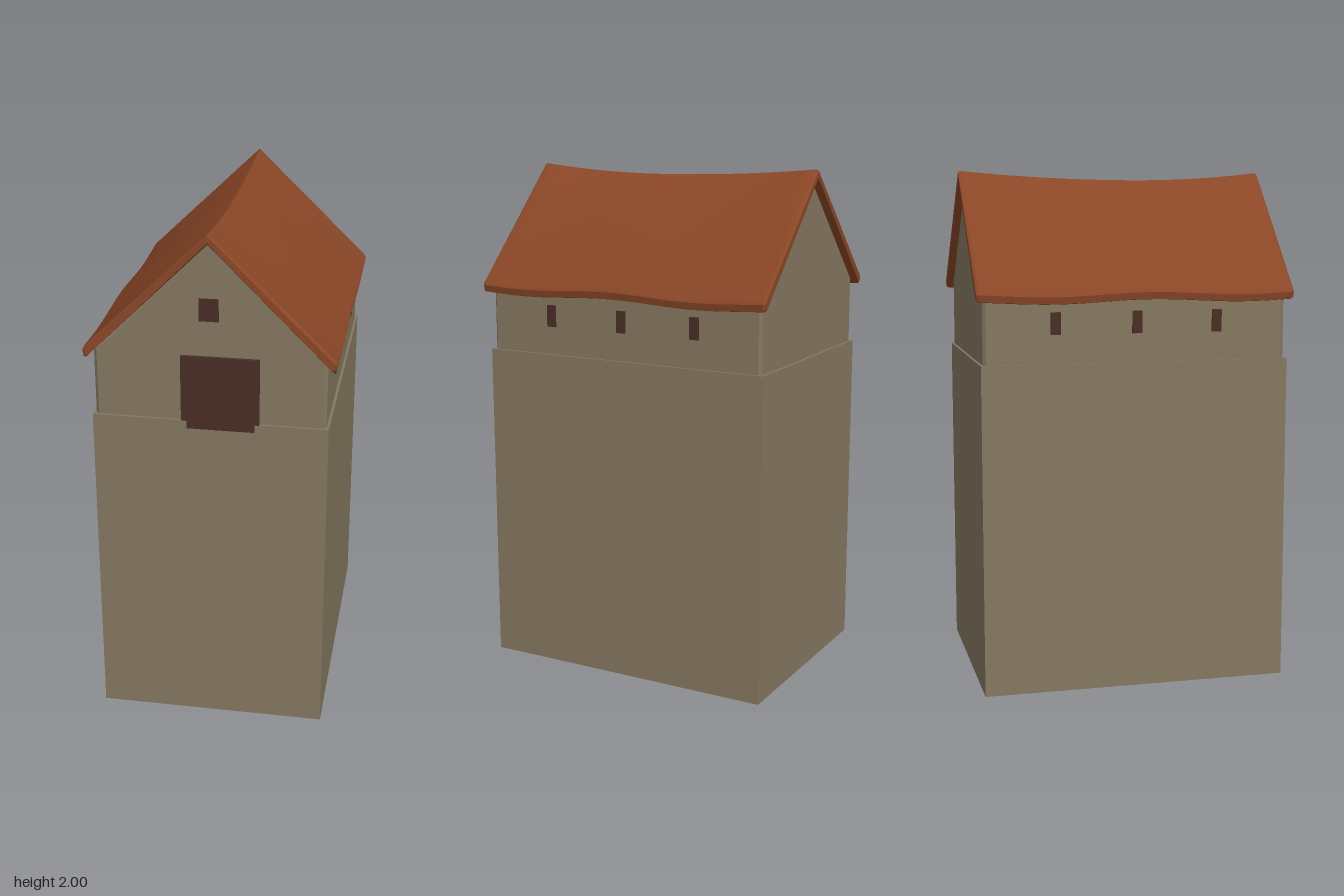
import * as THREE from 'three';
import { toCreasedNormals } from 'three/addons/utils/BufferGeometryUtils.js';

// Closed solid lofted along z through cross-sections given counter-clockwise in xy
function loft(zs, section) {
  const rings = zs.map((z, i) => section(z, i).map(([x, y]) => [x, y, z]));
  const n = rings[0].length, last = rings.length - 1, pos = [];
  const tri = (...pts) => pts.forEach((p) => pos.push(...p));
  for (let i = 0; i < last; i++) {
    for (let j = 0; j < n; j++) {
      const k = (j + 1) % n;
      const a = rings[i][j], b = rings[i][k], c = rings[i + 1][k], d = rings[i + 1][j];
      tri(a, b, c);
      tri(a, c, d);
    }
  }
  const cap = (ring) => THREE.ShapeUtils.triangulateShape(ring.map((p) => new THREE.Vector2(p[0], p[1])), []);
  for (const [a, b, c] of cap(rings[last])) tri(rings[last][a], rings[last][b], rings[last][c]);
  for (const [a, b, c] of cap(rings[0])) tri(rings[0][c], rings[0][b], rings[0][a]);
  const g = new THREE.BufferGeometry();
  g.setAttribute('position', new THREE.Float32BufferAttribute(pos, 3));
  return toCreasedNormals(g, 0.5);
}

// Section positions: a small bevel at each end and even steps between
function stations(half, bevel, steps) {
  const zs = [-half];
  for (let i = 0; i <= steps; i++) zs.push((half - bevel) * (2 * i / steps - 1));
  return [...zs, half];
}

// Sagging ridge and wavy eaves of the old roof
const ridgeY = (z) => 1.965 + (z > 0.1 ? 0.031 * ((z - 0.1) / 0.515) ** 2 : 0.035 * ((z - 0.1) / 0.715) ** 2);
const eaveY = (z) => 0.007 * Math.cos((z - 0.05) * 2 * Math.PI / 0.75);

export function createModel() {
  const model = new THREE.Group();
  const mat = (name, color) => {
    const m = new THREE.MeshStandardMaterial({ color });
    m.name = name;
    return m;
  };
  const stone = mat('stone wall', 0x857860);
  const tile = mat('roof tile', 0x8b4727);
  const wood = mat('dark wood', 0x4a2e25);

  const add = (name, geometry, material) => {
    const mesh = new THREE.Mesh(geometry, material);
    mesh.name = name;
    model.add(mesh);
    return mesh;
  };
  const box = (name, material, x0, x1, y0, y1, z0, z1) => {
    const mesh = add(name, new THREE.BoxGeometry(x1 - x0, y1 - y0, z1 - z0), material);
    mesh.position.set((x0 + x1) / 2, (y0 + y1) / 2, (z0 + z1) / 2);
  };

  // Tall stone base
  box('base', stone, -0.44, 0.44, 0, 1.28, -0.6, 0.6);

  // Gabled upper storey, its top following the roof
  const wallZ = stations(0.59, 0.012, 16);
  add('upperStorey', loft(wallZ, (z, i) => {
    const w = i === 0 || i === wallZ.length - 1 ? 0.418 : 0.43;
    const side = 1.535 + eaveY(z), top = ridgeY(z) - 0.042;
    return [[-w, 1.27], [w, 1.27], [w, side], [0, top], [-w, side]];
  }), stone);

  // Roof: a thin chevron with rounded eaves
  const roofZ = stations(0.617, 0.009, 24);
  add('roof', loft(roofZ, (z, i) => {
    const t = i === 0 || i === roofZ.length - 1 ? 0.006 : 0;
    const e = eaveY(z), r = ridgeY(z);
    const right = [
      [0.452 - t, 1.512 + e + t],
      [0.461 - t, 1.514 + e + t],
      [0.466 - t, 1.54 + e],
      [0.458 - t, 1.556 + e - t],
    ];
    const left = right.map(([x, y]) => [-x, y]).reverse();
    return [[0, r - 0.036 + t], ...right, [0, r + 0.002 - t], ...left];
  }), tile);

  // Loading door, with a narrower sill overlapping the base
  box('door', wood, -0.105, 0.185, 1.28, 1.535, 0.58, 0.604);
  box('doorSill', wood, -0.085, 0.168, 1.25, 1.28, 0.596, 0.604);

  // Small gable window
  box('gableWindow', wood, -0.036, 0.036, 1.67, 1.755, 0.587, 0.596);

  // Three slit windows along each long side
  for (const s of [-1, 1]) {
    for (const z of [-0.315, 0, 0.315]) {
      const x = s * 0.432;
      box('sideWindow', wood, x - 0.0045, x + 0.0045, 1.39, 1.475, z - 0.019, z + 0.019);
    }
  }
  return model;
}
